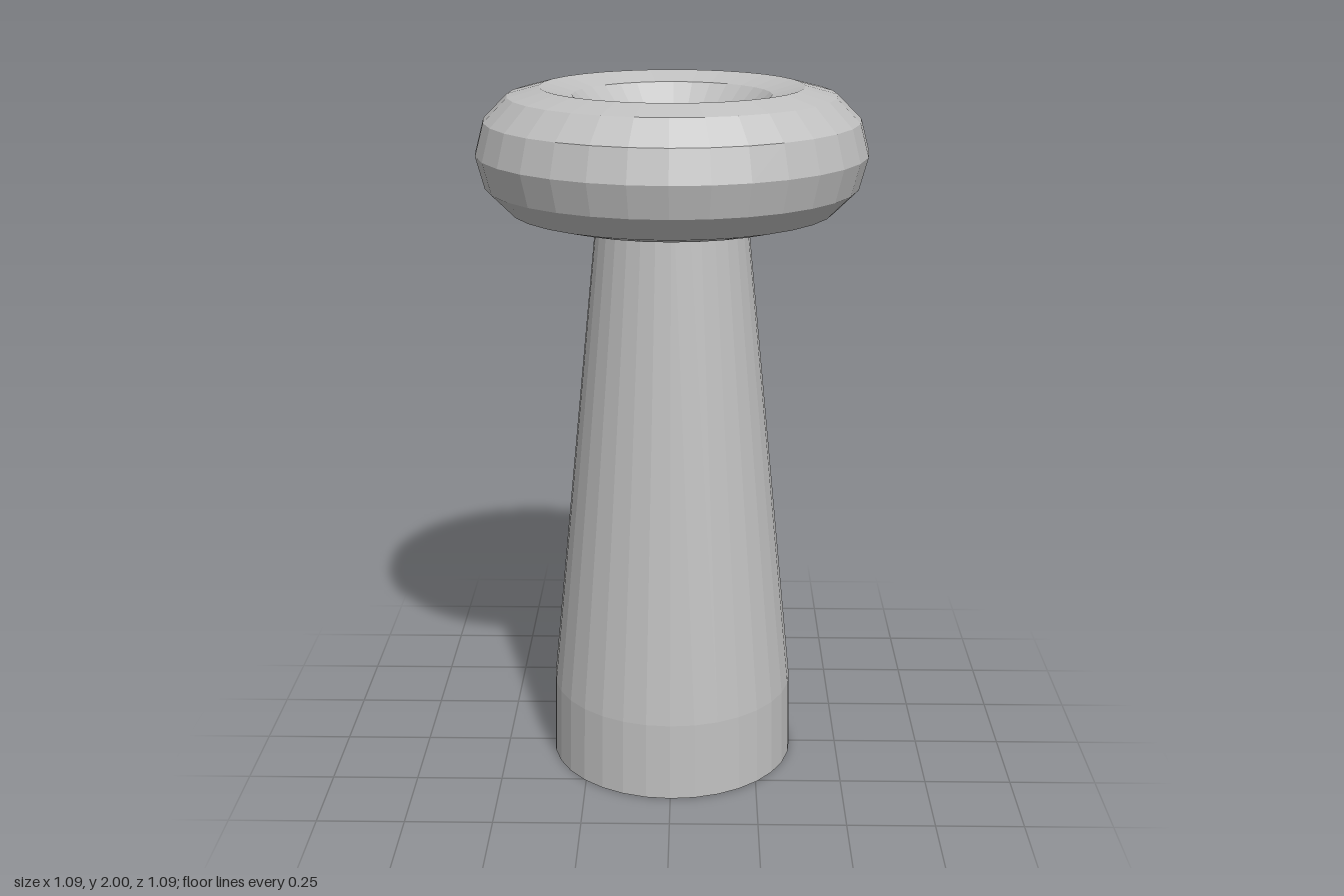
import * as THREE from 'three';

const SIDES = 32;

export function createModel() {
  const model = new THREE.Group();
  model.name = 'ringToppedPost';

  const grey = new THREE.MeshStandardMaterial({ color: 0xc0c0c0, flatShading: true });
  grey.name = 'light grey';

  // Closed post: nearly straight foot, then a long taper up into the ring
  const profile = [
    [0, 0], [0.36, 0], [0.355, 0.23], [0.189, 1.88], [0, 1.88],
  ].map(([r, y]) => new THREE.Vector2(r, y));
  const post = new THREE.Mesh(new THREE.LatheGeometry(profile, SIDES), grey);
  post.name = 'post';
  model.add(post);

  // Twelve-sided ring seated around the top of the post
  const ringGeometry = new THREE.TorusGeometry(0.365, 0.18, 12, SIDES);
  ringGeometry.rotateX(Math.PI / 2);
  ringGeometry.translate(0, 1.82, 0);
  const ring = new THREE.Mesh(ringGeometry, grey);
  ring.name = 'ring';
  model.add(ring);

  return model;
}
